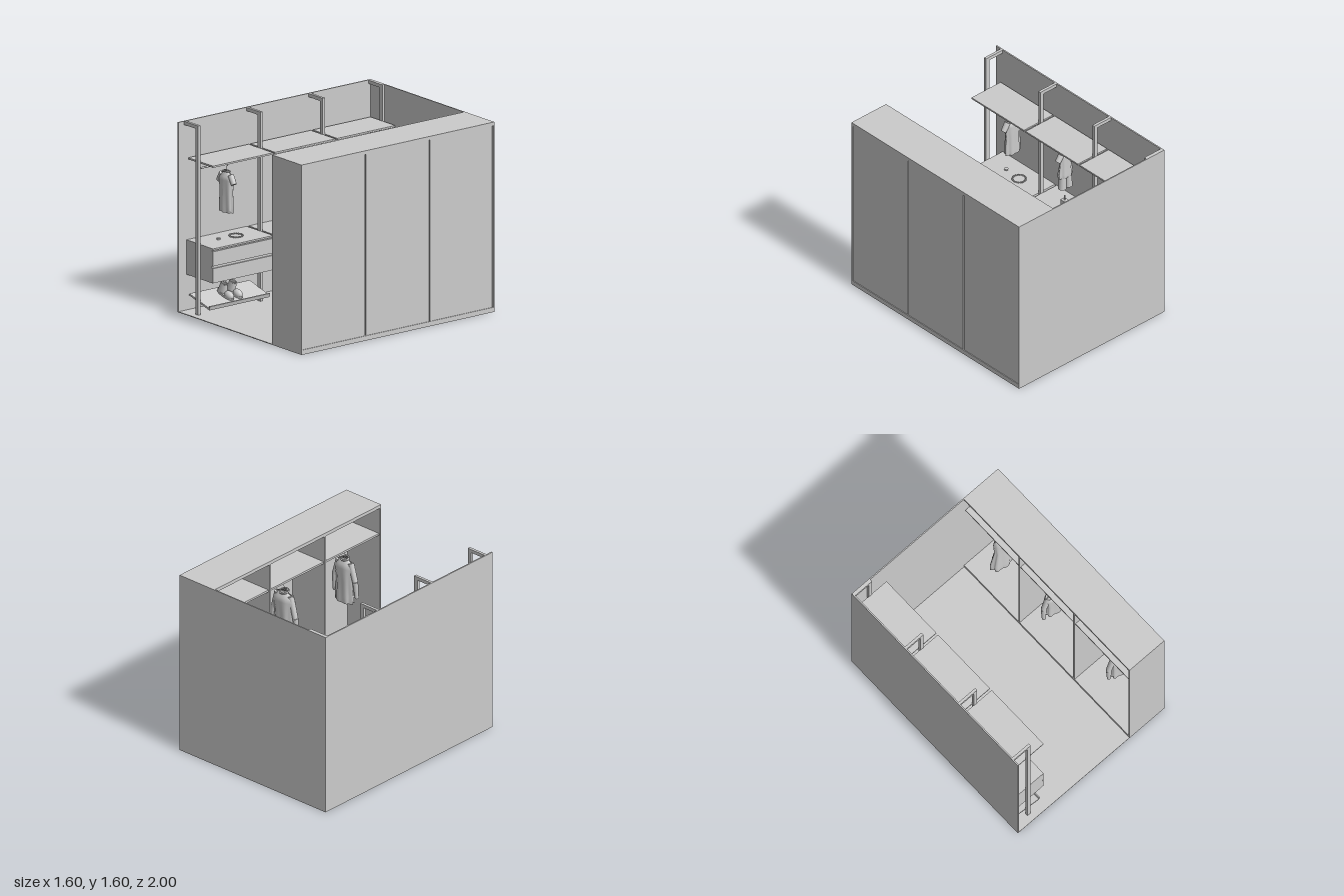
import * as THREE from 'three';

const solid = new THREE.MeshStandardMaterial({ color: 0xcccccc });
const cloth = new THREE.MeshStandardMaterial({ color: 0xcccccc, side: THREE.DoubleSide });
const V = (x, y, z) => new THREE.Vector3(x, y, z);

function add(parent, name, geo, x = 0, y = 0, z = 0, mat = solid) {
  const m = new THREE.Mesh(geo, mat);
  m.name = name;
  m.position.set(x, y, z);
  parent.add(m);
  return m;
}

// box given by its min and max along each axis
function box(parent, name, x0, x1, y0, y1, z0, z1) {
  return add(parent, name, new THREE.BoxGeometry(x1 - x0, y1 - y0, z1 - z0),
    (x0 + x1) / 2, (y0 + y1) / 2, (z0 + z1) / 2);
}

// tapered tube between two points
function limb(parent, name, a, b, ra, rb) {
  const d = b.clone().sub(a);
  const m = add(parent, name, new THREE.CylinderGeometry(rb, ra, d.length(), 14, 3), 0, 0, 0, cloth);
  m.position.copy(a).add(b).multiplyScalar(0.5);
  m.quaternion.setFromUnitVectors(V(0, 1, 0), d.normalize());
  return m;
}

// hanging garment: y = 0 is the neck, shoulders run along x
function garment(name, { w = 0.065, h = 0.36, sleeve = 0.25, flare = 1, hood = false, legs = 0 }) {
  const g = new THREE.Group();
  g.name = name;
  const profile = [[w * flare, -h], [w * flare * 1.04, -h * 0.85], [w * 0.95, -h * 0.5],
    [w * 1.1, -h * 0.2], [w * 0.95, -0.04], [w * 0.5, -0.012], [w * 0.38, 0], [w * 0.36, 0.01]];
  const geo = new THREE.LatheGeometry(profile.map(p => new THREE.Vector2(...p)), 32);
  const p = geo.attributes.position;
  // soft folds, deeper toward the hem
  for (let i = 0; i < p.count; i++) {
    const a = Math.atan2(p.getZ(i), p.getX(i));
    const k = 1 - 0.12 * Math.min(1, -p.getY(i) / h) * Math.sin(a * 7);
    p.setXYZ(i, p.getX(i) * k, p.getY(i), p.getZ(i) * k * 0.5);
  }
  geo.computeVertexNormals();
  add(g, 'body', geo, 0, 0, 0, cloth);
  for (const s of [-1, 1]) {
    if (sleeve) {
      const elbow = V(s * (w + 0.022), -0.03 - sleeve * 0.5, 0);
      limb(g, 'upperSleeve', V(s * w * 0.72, -0.025, 0), elbow, 0.026, 0.024);
      if (sleeve > 0.15) limb(g, 'lowerSleeve', elbow, V(s * (w + 0.03), -0.03 - sleeve, 0.01), 0.024, 0.017);
    }
    if (legs) limb(g, 'leg', V(s * w * 0.5, -h, 0), V(s * w * 0.55, -h - legs, 0), 0.03, 0.035);
  }
  const collar = add(g, hood ? 'hood' : 'collar',
    new THREE.TorusGeometry(hood ? 0.04 : w * 0.38, hood ? 0.022 : 0.007, 8, 20), 0, 0, 0, cloth);
  collar.rotation.x = 1.35;
  // hanger
  const hook = new THREE.CatmullRomCurve3([V(0, -0.01, 0), V(0, 0.04, 0), V(0.014, 0.052, 0),
    V(0.01, 0.07, 0), V(-0.008, 0.07, 0)]);
  add(g, 'hangerHook', new THREE.TubeGeometry(hook, 16, 0.002, 6));
  const arms = new THREE.CatmullRomCurve3([V(-w, -0.03, 0), V(0, 0.012, 0), V(w, -0.03, 0)]);
  add(g, 'hangerArms', new THREE.TubeGeometry(arms, 12, 0.004, 6));
  return g;
}

function place(parent, obj, x, y, z) {
  obj.position.set(x, y, z);
  parent.add(obj);
}

function rail(parent, x, y, z0, z1) {
  const r = add(parent, 'hangingRail', new THREE.CylinderGeometry(0.008, 0.008, z1 - z0, 12), x, y, (z0 + z1) / 2);
  r.rotation.x = Math.PI / 2;
}

// sloping shoe shelf with a lip and a pair of shoes
function shoeShelf(parent, z0, z1) {
  const g = new THREE.Group();
  g.name = 'shoeShelf';
  const hz = (z1 - z0) / 2;
  box(g, 'board', -0.135, 0.135, -0.008, 0.008, -hz, hz);
  box(g, 'lip', 0.125, 0.135, 0.008, 0.026, -hz, hz);
  for (const z of [-0.045, 0.045]) {
    const sole = add(g, 'shoeSole', new THREE.CylinderGeometry(0.1, 0.1, 0.018, 24), 0, 0.018, z);
    sole.scale.z = 0.36;
    const toe = add(g, 'shoeToe', new THREE.SphereGeometry(0.05, 20, 12), 0.045, 0.03, z);
    toe.scale.set(1, 0.75, 0.66);
    const heel = add(g, 'shoeHeel', new THREE.CylinderGeometry(0.035, 0.05, 0.08, 20, 1, true), -0.04, 0.062, z, cloth);
    heel.scale.z = 0.66;
    const cuff = add(g, 'shoeCuff', new THREE.TorusGeometry(0.035, 0.006, 8, 20), -0.04, 0.102, z);
    cuff.rotation.x = Math.PI / 2;
    cuff.scale.y = 0.66;
  }
  g.rotation.z = -0.26;
  place(parent, g, -0.622, 0.11, (z0 + z1) / 2);
}

export function createModel() {
  const model = new THREE.Group();
  model.name = 'walkInCloset';

  // room shell
  box(model, 'floor', -0.8, 0.8, 0, 0.006, -1, 1);
  box(model, 'sideWall', -0.8, -0.788, 0, 1.6, -1, 1);
  box(model, 'backWall', -0.788, 0.8, 0, 1.6, -1, -0.99);

  // open shelving along the side wall
  const shelving = new THREE.Group();
  shelving.name = 'shelving';
  model.add(shelving);
  const postZ = [0.93, 0.285, -0.36, -0.98];
  for (const z of postZ) {
    box(shelving, 'post', -0.642, -0.607, 0, 1.6, z - 0.012, z + 0.012);
    box(shelving, 'postArm', -0.79, -0.642, 1.57, 1.6, z - 0.012, z + 0.012);
  }
  for (let i = 0; i < 3; i++) {
    const z1 = postZ[i] - 0.012, z0 = postZ[i + 1] + 0.008;
    box(shelving, 'upperShelf', -0.765, -0.445, 1.28, 1.294, z0, z1);
    rail(shelving, -0.625, 1.235, z0, z1);
    if (i > 0) box(shelving, 'middleShelf', -0.79, -0.445, 0.58, 0.597, z0, z1);
    if (i !== 1) shoeShelf(shelving, z0, z1);
  }

  // drawer unit in the front bay
  const drawers = new THREE.Group();
  drawers.name = 'drawerUnit';
  shelving.add(drawers);
  box(drawers, 'carcass', -0.79, -0.457, 0.305, 0.597, 0.293, 0.918);
  box(drawers, 'top', -0.457, -0.445, 0.583, 0.597, 0.293, 0.918);
  for (const y of [0.307, 0.45]) box(drawers, 'drawerFront', -0.457, -0.445, y, y + 0.123, 0.293, 0.918);

  // small things on the shelves
  const beads = new THREE.Group();
  beads.name = 'necklace';
  for (let i = 0; i < 24; i++) {
    const a = i / 24 * Math.PI * 2;
    add(beads, 'bead', new THREE.SphereGeometry(0.007, 8, 6), 0.055 * Math.cos(a), 0, 0.055 * Math.sin(a));
  }
  place(shelving, beads, -0.62, 0.604, 0.54);
  add(shelving, 'dish', new THREE.CylinderGeometry(0.018, 0.015, 0.012, 20), -0.635, 0.603, 0.71);
  box(shelving, 'bottle', -0.65, -0.605, 0.597, 0.67, -0.02, 0.03);
  add(shelving, 'bottleNeck', new THREE.CylinderGeometry(0.007, 0.007, 0.04, 12), -0.628, 0.69, 0.005);
  const hat = [[0.09, 0], [0.088, 0.006], [0.058, 0.014], [0.055, 0.05], [0.04, 0.072], [0, 0.075]];
  add(shelving, 'hat', new THREE.LatheGeometry(hat.map(p => new THREE.Vector2(...p)), 28), -0.62, 0.598, -0.66, cloth);

  // clothes on the shelving rails
  place(shelving, garment('tShirt', { w: 0.075, h: 0.34, sleeve: 0.13 }), -0.63, 1.16, 0.63);
  place(shelving, garment('playsuit', { w: 0.06, h: 0.25, sleeve: 0.1, flare: 1.15, legs: 0.11 }), -0.63, 1.16, 0);
  place(shelving, garment('hoodie', { w: 0.075, h: 0.38, sleeve: 0.32, hood: true }), -0.635, 1.16, -0.68);

  // wardrobe, open toward the room
  const wardrobe = new THREE.Group();
  wardrobe.name = 'wardrobe';
  model.add(wardrobe);
  box(wardrobe, 'top', 0.42, 0.8, 1.57, 1.6, -1, 1);
  box(wardrobe, 'plinth', 0.42, 0.8, 0.006, 0.04, -0.99, 0.99);
  box(wardrobe, 'endPanel', 0.42, 0.8, 0, 1.57, 0.985, 1);
  const bayZ = [-0.985, -0.33, 0.33, 0.985];
  for (let i = 0; i < 3; i++) {
    const z0 = bayZ[i], z1 = bayZ[i + 1];
    if (i) box(wardrobe, 'divider', 0.42, 0.78, 0.04, 1.57, z0 - 0.008, z0 + 0.008);
    box(wardrobe, 'slidingPanel', 0.78, 0.794, 0.04, 1.57, z0 + 0.005, z1 - 0.005);
    box(wardrobe, 'shelf', 0.43, 0.78, 1.32, 1.337, z0, z1);
    rail(wardrobe, 0.57, 1.25, z0, z1);
  }
  box(wardrobe, 'backing', 0.772, 0.78, 0.04, 1.57, -0.985, 0.985);
  place(wardrobe, garment('longDress', { w: 0.085, h: 0.62, sleeve: 0, flare: 1.35 }), 0.55, 1.17, -0.67);
  place(wardrobe, garment('jacket', { w: 0.1, h: 0.4, sleeve: 0.36 }), 0.54, 1.17, -0.03);
  place(wardrobe, garment('shirt', { w: 0.09, h: 0.39, sleeve: 0.3 }), 0.56, 1.17, 0.72);

  return model;
}
